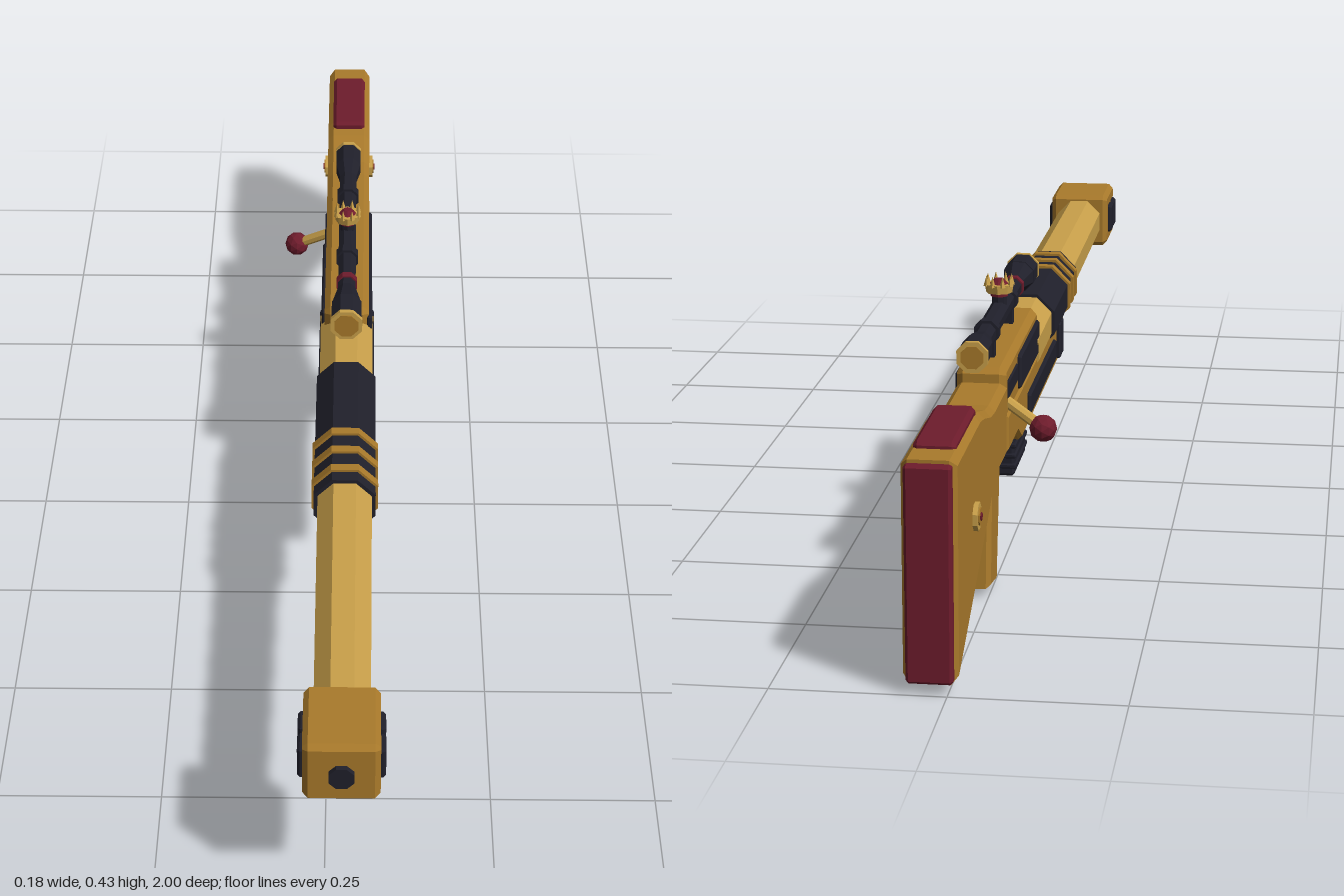
import * as THREE from 'three';

const mat = (name, color) => {
  const m = new THREE.MeshStandardMaterial({ color });
  m.name = name;
  return m;
};

export function createModel() {
  const gold = mat('gold', 0xa97a2b);
  const paleGold = mat('pale gold', 0xc9a04a);
  const dark = mat('dark steel', 0x20202b);
  const red = mat('deep red', 0x6e1c2c);

  const model = new THREE.Group();
  model.name = 'rifle';
  const gun = new THREE.Group(); // everything sits around the barrel's centre plane
  gun.name = 'gun';
  gun.position.x = 0.025;
  model.add(gun);

  // Faceted mesh
  const add = (name, geo, material, x = 0, y = 0, z = 0, parent = gun) => {
    const g = geo.index ? geo.toNonIndexed() : geo;
    g.computeVertexNormals();
    const m = new THREE.Mesh(g, material);
    m.name = name;
    m.position.set(x, y, z);
    parent.add(m);
    return m;
  };

  // Side outline of [z, y] points, extruded across x with chamfered edges
  const slab = (pts, width, bevel) => {
    const g = new THREE.ExtrudeGeometry(new THREE.Shape(pts.map(p => new THREE.Vector2(...p))), {
      depth: width - 2 * bevel, bevelEnabled: bevel > 0, bevelThickness: bevel,
      bevelSize: bevel, bevelOffset: -bevel, bevelSegments: 1,
    });
    return g.translate(0, 0, bevel - width / 2).rotateY(-Math.PI / 2);
  };

  // Chamfered box given by its z and y ranges
  const block = (name, z0, z1, y0, y1, width, bevel, material, x = 0) => {
    const w = (z1 - z0) / 2, h = (y1 - y0) / 2, c = bevel;
    const pts = [[-w + c, -h], [w - c, -h], [w, -h + c], [w, h - c],
      [w - c, h], [-w + c, h], [-w, h - c], [-w, -h + c]];
    return add(name, slab(pts, width, bevel), material, x, (y0 + y1) / 2, (z0 + z1) / 2);
  };

  // Octagonal tube along z, flat side up; radii are measured to the flats
  const tube = (name, z0, r0, z1, r1, y, material) => {
    const k = 1 / Math.cos(Math.PI / 8);
    const g = new THREE.CylinderGeometry(r1 * k, r0 * k, z1 - z0, 8);
    return add(name, g.rotateY(Math.PI / 8).rotateX(Math.PI / 2), material, 0, y, (z0 + z1) / 2);
  };

  // Barrel and muzzle
  const axis = 0.27;
  tube('barrel', -0.15, 0.045, 0.88, 0.041, axis, paleGold);
  block('muzzleBrake', 0.857, 0.992, 0.22, 0.322, 0.11, 0.008, gold);
  tube('bore', 0.98, 0.018, 1.0, 0.018, axis, dark);
  for (const s of [-1, 1]) {
    for (const z of [0.904, 0.951]) {
      block('muzzleVent', z - 0.019, z + 0.019, 0.243, 0.298, 0.014, 0.004, dark, s * 0.0555);
    }
  }

  // Barrel shroud with raised bands
  tube('shroud', 0.03, 0.049, 0.365, 0.049, axis, dark);
  for (const z of [0.235, 0.285, 0.335]) tube('shroudBand', z - 0.008, 0.053, z + 0.008, 0.053, axis, gold);

  // Fore-end
  add('foreEnd', slab([[0.226, 0.25], [0.226, 0.225], [0.2, 0.173], [-0.34, 0.173],
    [-0.385, 0.198], [-0.5, 0.198], [-0.5, 0.26], [0.2, 0.26]], 0.084, 0.006), gold);
  for (const s of [-1, 1]) {
    block('forePanel', -0.275, 0.075, 0.194, 0.23, 0.01, 0.003, dark, s * 0.043);
    for (const z of [0.134, 0.162]) {
      block('foreVent', z - 0.01, z + 0.01, 0.182, 0.246, 0.014, 0.003, dark, s * 0.042);
    }
  }

  // Receiver with side plates
  block('receiver', -0.5, -0.11, 0.2, 0.333, 0.076, 0.01, gold);
  block('leftPlate', -0.47, -0.115, 0.262, 0.316, 0.01, 0.003, dark, 0.039);
  block('rightPlate', -0.36, -0.13, 0.262, 0.316, 0.01, 0.003, dark, -0.039);
  block('boltSlot', -0.48, -0.375, 0.28, 0.308, 0.006, 0.002, dark, -0.038);
  for (const s of [-1, 1]) {
    add('platePin', new THREE.CylinderGeometry(0.006, 0.006, 0.006, 8).rotateZ(Math.PI / 2),
      paleGold, s * 0.043, 0.285, -0.155);
  }

  // Bolt handle
  const from = new THREE.Vector3(-0.03, 0.275, -0.465), to = new THREE.Vector3(-0.094, 0.237, -0.487);
  const stem = add('boltStem', new THREE.CylinderGeometry(0.009, 0.009, from.distanceTo(to), 8), paleGold);
  stem.position.copy(from).lerp(to, 0.5);
  stem.quaternion.setFromUnitVectors(new THREE.Vector3(0, 1, 0), to.clone().sub(from).normalize());
  add('boltKnob', new THREE.IcosahedronGeometry(0.0215, 1), red, to.x, to.y, to.z);

  // Magazine with ribs
  block('magazine', -0.33, -0.195, 0.108, 0.2, 0.056, 0.004, dark);
  for (const y of [0.125, 0.142, 0.159]) block('magazineRib', -0.333, -0.192, y - 0.004, y + 0.004, 0.062, 0.002, dark);

  // Trigger and guard
  block('guardFront', -0.418, -0.408, 0.15, 0.205, 0.022, 0.001, dark);
  block('guardBottom', -0.52, -0.408, 0.148, 0.158, 0.022, 0.001, dark);
  add('trigger', slab([[-0.465, 0.205], [-0.474, 0.165], [-0.48, 0.165], [-0.482, 0.205]], 0.014, 0.001), dark);

  // Grip
  add('grip', slab([[-0.485, 0.21], [-0.528, 0.002], [-0.603, 0.015], [-0.58, 0.21]], 0.056, 0.007), gold);

  // Stock
  add('stock', slab([[-0.48, 0.19], [-0.6, 0.192], [-0.64, 0.178], [-0.7, 0.147], [-0.988, 0.015],
    [-0.988, 0.337], [-0.77, 0.337], [-0.73, 0.331], [-0.66, 0.313], [-0.62, 0.309], [-0.48, 0.309]],
    0.078, 0.01), gold);
  block('buttPad', -1.0, -0.98, 0.018, 0.332, 0.066, 0.004, red);
  block('cheekRest', -0.937, -0.75, 0.325, 0.347, 0.06, 0.006, red);
  for (const s of [-1, 1]) {
    const disc = (name, r, t, m) => add(name, new THREE.CylinderGeometry(r, r, t, 8)
      .rotateY(Math.PI / 8).rotateZ(Math.PI / 2), m, s * 0.039, 0.207, -0.83);
    disc('medallion', 0.021, 0.014, paleGold);
    disc('medallionRing', 0.013, 0.018, gold);
    disc('medallionStud', 0.006, 0.022, red);
  }

  // Scope: each section runs from rear z, radius to front z, radius
  const sy = 0.372;
  const sections = [[-0.58, 0.022, -0.53, 0.022], [-0.53, 0.022, -0.49, 0.015],
    [-0.49, 0.015, -0.11, 0.015], [-0.11, 0.015, -0.06, 0.024], [-0.06, 0.025, -0.008, 0.025]];
  for (const s of sections) tube('scopeTube', s[0], s[1], s[2], s[3], sy, dark);
  tube('frontRim', -0.008, 0.0265, 0.0, 0.0265, sy, paleGold);
  tube('frontLens', -0.002, 0.02, 0.002, 0.02, sy, gold);
  tube('rearRim', -0.587, 0.0235, -0.579, 0.0235, sy, paleGold);
  tube('rearLens', -0.589, 0.017, -0.585, 0.017, sy, gold);
  tube('scopeBand', -0.142, 0.0175, -0.128, 0.0175, sy, red);
  for (const z of [-0.22, -0.43]) {
    tube('scopeRing', z - 0.01, 0.019, z + 0.01, 0.019, sy, dark);
    block('scopeMount', z - 0.008, z + 0.008, 0.325, 0.365, 0.025, 0.001, dark);
  }

  // Crown-shaped adjustment knob
  const crown = new THREE.Group();
  crown.name = 'crownKnob';
  crown.position.set(0, 0, -0.295);
  gun.add(crown);
  const ring = (name, y0, r0, y1, r1, m) =>
    add(name, new THREE.CylinderGeometry(r1, r0, y1 - y0, 8), m, 0, (y0 + y1) / 2, 0, crown);
  ring('knobStem', 0.38, 0.012, 0.398, 0.012, dark);
  ring('crownBase', 0.396, 0.014, 0.403, 0.014, red);
  ring('crownBand', 0.402, 0.021, 0.416, 0.023, paleGold);
  ring('crownCushion', 0.415, 0.016, 0.424, 0.007, red);
  for (let i = 0; i < 8; i++) {
    const a = (i + 0.5) * Math.PI / 4;
    add('crownPoint', new THREE.ConeGeometry(0.005, 0.018, 4), paleGold,
      0.0205 * Math.sin(a), 0.422, 0.0205 * Math.cos(a), crown);
  }

  return model;
}
